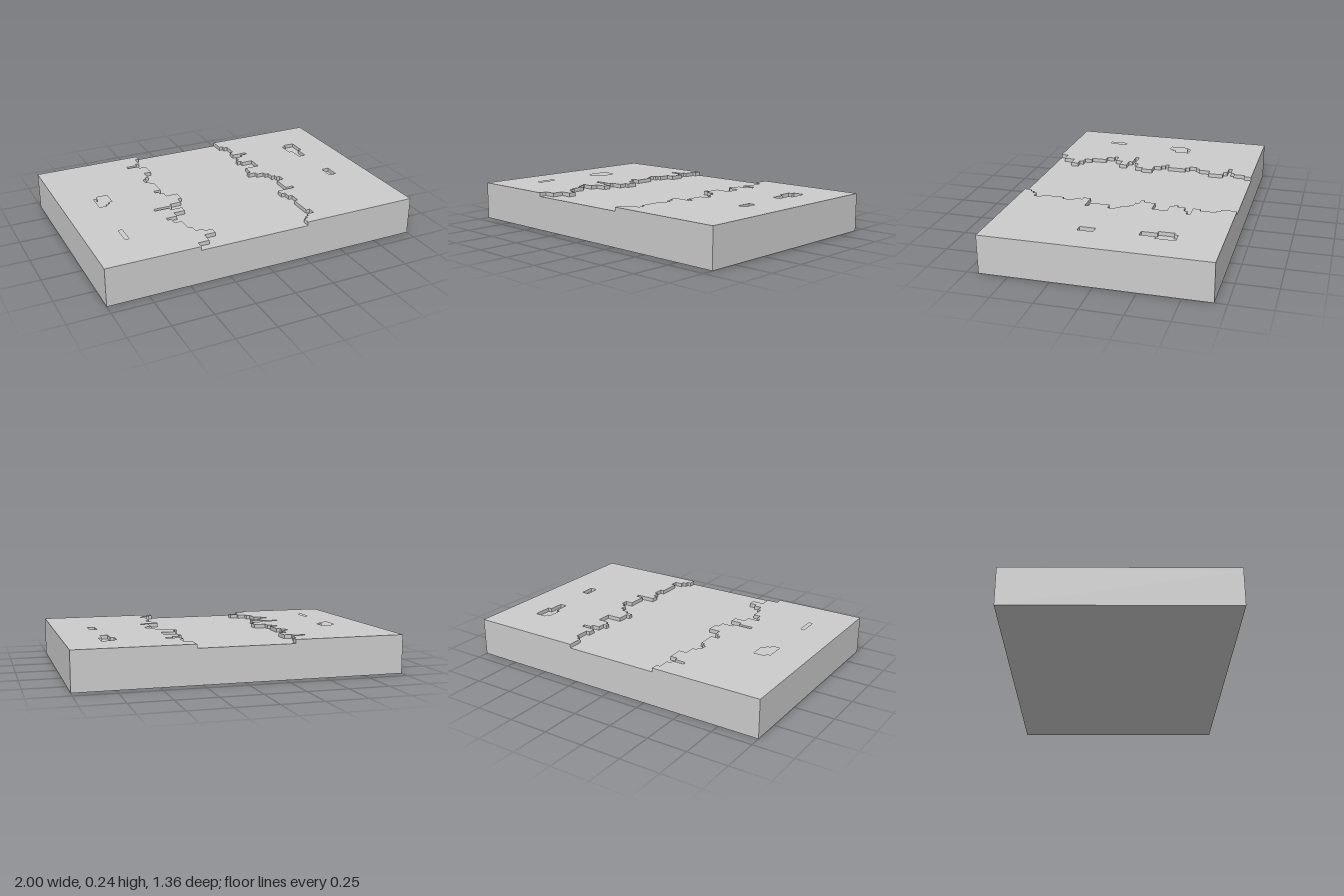
import * as THREE from 'three';

// The block is laid out on a square grid: 84 columns (x), 57 rows (z), 10 layers (y).
const COLS = 84, ROWS = 57, BASE_LAYERS = 9;
const U = 2 / COLS;

// Shorelines as [column, last row] runs from back to front.
const LEFT_SHORE = [
  [29, 2], [28, 5], [27, 6], [24, 7], [27, 8], [29, 12], [27, 15], [26, 16], [25, 18], [26, 19],
  [27, 24], [25, 25], [26, 26], [27, 28], [30, 31], [29, 33], [26, 34], [21, 35], [25, 36], [28, 38],
  [25, 40], [22, 41], [23, 43], [25, 47], [26, 49], [28, 50], [30, 52], [27, 55], [24, 57],
];
const RIGHT_SHORE = [
  [54, 4], [55, 5], [56, 9], [55, 11], [59, 12], [57, 13], [55, 15], [54, 16], [55, 17], [58, 21],
  [54, 24], [53, 25], [55, 26], [57, 27], [58, 29], [59, 30], [60, 32], [58, 37], [60, 38], [55, 40],
  [56, 42], [57, 45], [56, 51], [57, 53], [55, 54], [54, 55], [53, 57],
];

// Sunken pits in each bank, as [column, row] outlines.
const rect = (c0, r0, c1, r1) => [[c0, r0], [c1, r0], [c1, r1], [c0, r1]];
const LEFT_PITS = [
  [[10, 21], [13, 21], [13, 25], [12, 25], [12, 26], [11, 26], [11, 27], [9, 27], [9, 22], [10, 22]],
  rect(9, 41, 10, 46),
];
const RIGHT_PITS = [
  [[72, 11], [75, 11], [75, 16], [74, 16], [74, 20], [72, 20], [72, 16], [71, 16], [71, 12], [72, 12]],
  rect(73, 31, 75, 35),
];

// Grid corner to shape plane (shape y becomes -z once laid flat).
const toPoint = ([c, r]) => new THREE.Vector2((c - COLS / 2) * U, (ROWS / 2 - r) * U);

// Stepped outline between an outer edge column and a shoreline.
function bankOutline(edge, shore) {
  const points = [[edge, 0]];
  let row = 0;
  for (const [col, end] of shore) {
    points.push([col, row], [col, end]);
    row = end;
  }
  points.push([edge, ROWS]);
  return points;
}

export function createModel() {
  const group = new THREE.Group();
  group.name = 'riverTile';
  const material = new THREE.MeshStandardMaterial({ color: 0xcccccc, flatShading: true });

  // Solid block whose top is the river bed and the floor of the pits
  const base = new THREE.Mesh(new THREE.BoxGeometry(COLS * U, BASE_LAYERS * U, ROWS * U), material);
  base.name = 'base';
  base.position.y = BASE_LAYERS * U / 2;
  group.add(base);

  // One-layer banks on both sides of the river
  const addBank = (name, edge, shore, pits) => {
    const shape = new THREE.Shape(bankOutline(edge, shore).map(toPoint));
    shape.holes = pits.map((pit) => new THREE.Path(pit.map(toPoint)));
    const geometry = new THREE.ExtrudeGeometry(shape, { depth: U, bevelEnabled: false });
    geometry.rotateX(-Math.PI / 2);
    const bank = new THREE.Mesh(geometry, material);
    bank.name = name;
    bank.position.y = BASE_LAYERS * U;
    group.add(bank);
  };
  addBank('rightBank', 0, LEFT_SHORE, LEFT_PITS);
  addBank('leftBank', COLS, RIGHT_SHORE, RIGHT_PITS);

  return group;
}
